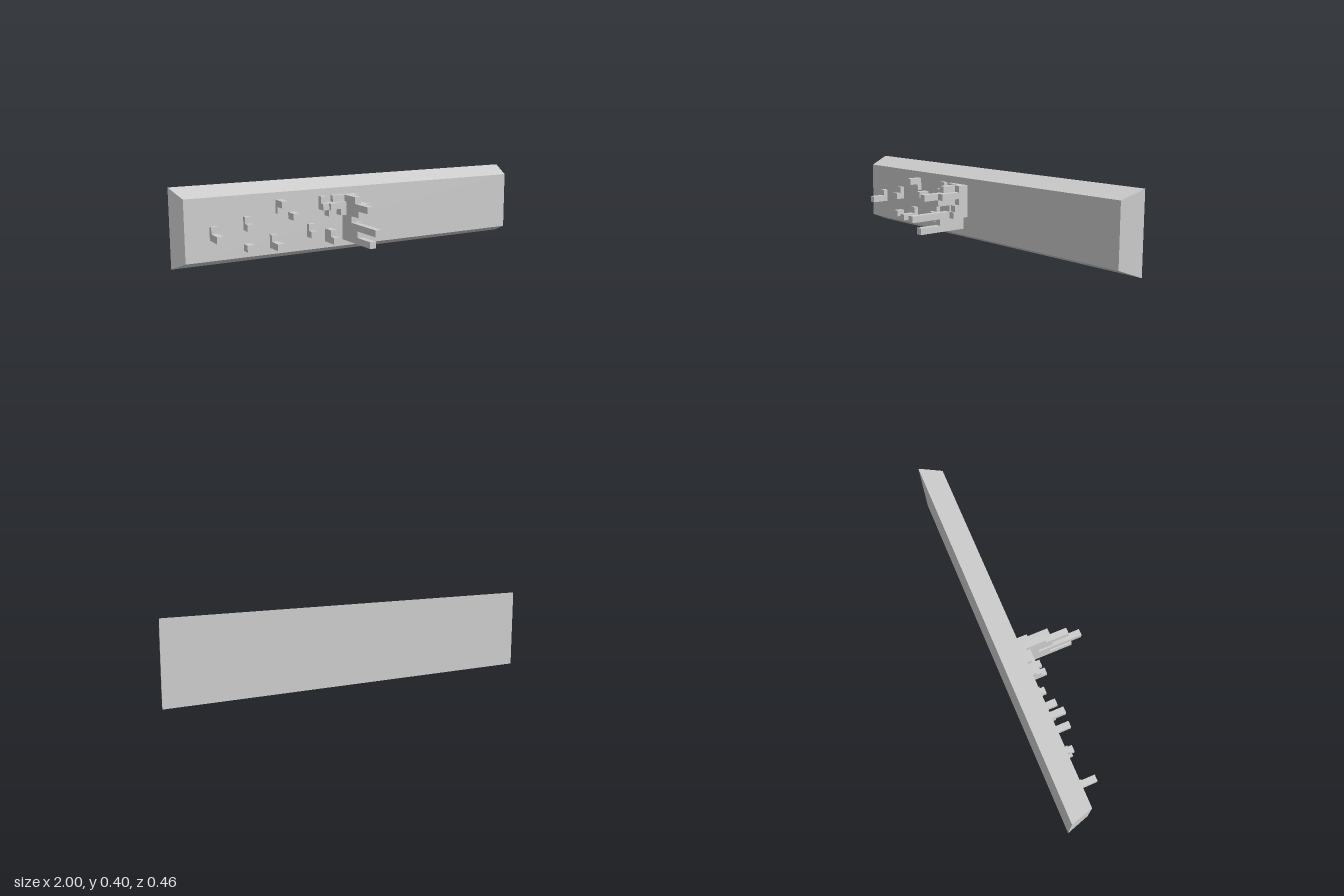
import * as THREE from 'three';

const FACE_Z = -0.108;  // front face of the plaque
const BACK_Z = -0.227;
const CELL = 0.0342;    // grid pitch of the bars

// Bars: [column counted from the right, row counted from the bottom, z of the tip]
const BARS = [
  [0, 2, -0.011], [0, 3, -0.023], [0, 4, -0.05], [0, 5, 0.063], [0, 6, -0.05],
  [1, 0, 0.177], [1, 1, 0.052], [1, 2, 0.229], [1, 3, -0.011], [1, 4, 0.063], [1, 5, 0.152], [1, 6, 0.027],
  [2, 4, -0.06], [2, 5, -0.06], [2, 6, -0.083],
  [3, 5, -0.06], [3, 6, -0.083],
  [4, 0, -0.009], [4, 1, -0.04], [4, 4, -0.06], [4, 5, -0.04],
  [5, 5, -0.057], [5, 6, -0.083],
  [7, 1, -0.057], [7, 2, -0.083],
  [10, 4, -0.044],
  [12, 5, -0.083], [12, 6, -0.031],
  [13, 0, -0.009], [13, 1, -0.083],
  [17, 0, -0.06], [17, 3, -0.057], [17, 4, -0.083],
  [22, 2, -0.009], [22, 3, -0.083],
];

export function createModel() {
  const group = new THREE.Group();
  const material = new THREE.MeshStandardMaterial({ color: 0xcccccc, flatShading: true });

  // Plaque: a slab whose front face is inset, giving bevelled sides
  const slab = new THREE.BoxGeometry(2, 0.4, FACE_Z - BACK_Z);
  const pos = slab.attributes.position;
  for (let i = 0; i < pos.count; i++) {
    if (pos.getZ(i) > 0) {
      pos.setX(i, Math.sign(pos.getX(i)) * 0.965);
      pos.setY(i, Math.sign(pos.getY(i)) * 0.155);
    }
  }
  slab.computeVertexNormals();
  const plaque = new THREE.Mesh(slab, material);
  plaque.name = 'plaque';
  plaque.position.set(0, 0.205, (FACE_Z + BACK_Z) / 2);
  group.add(plaque);

  // Square bars of different lengths standing out of the front face
  const bars = new THREE.Group();
  bars.name = 'bars';
  for (const [column, row, tip] of BARS) {
    const bar = new THREE.Mesh(new THREE.BoxGeometry(CELL, CELL, tip - FACE_Z), material);
    bar.name = 'bar';
    bar.position.set(-0.056 - (column + 0.5) * CELL, 0.084 + (row + 0.5) * CELL, (tip + FACE_Z) / 2);
    bars.add(bar);
  }
  group.add(bars);
  return group;
}
